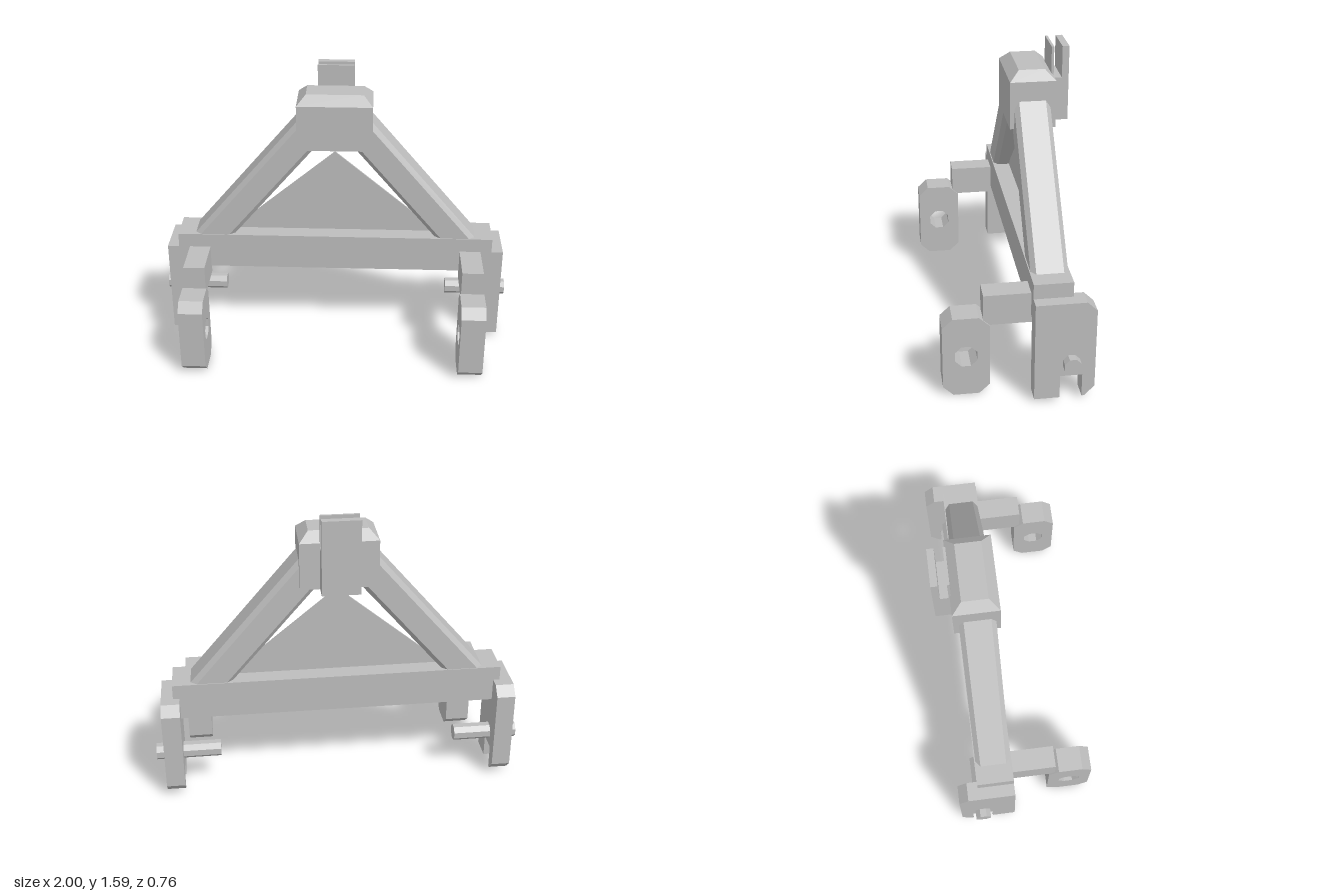
import * as THREE from 'three';

const steel = new THREE.MeshStandardMaterial({ color: 0xbdbdbd });
steel.name = 'steel grey';

export function createModel() {
  const group = new THREE.Group();

  const add = (geometry, name) => {
    const mesh = new THREE.Mesh(geometry, steel);
    mesh.name = name;
    group.add(mesh);
    return mesh;
  };

  // Box given by its limits on each axis
  const box = (x0, x1, y0, y1, z0, z1) =>
    new THREE.BoxGeometry(x1 - x0, y1 - y0, z1 - z0)
      .translate((x0 + x1) / 2, (y0 + y1) / 2, (z0 + z1) / 2);

  const shapeOf = (points) => new THREE.Shape(points.map(([a, b]) => new THREE.Vector2(a, b)));

  // Side profile of [z, y] points, extruded across x0..x1
  const sideExtrude = (shape, x0, x1) =>
    new THREE.ExtrudeGeometry(shape, { depth: x1 - x0, bevelEnabled: false })
      .rotateY(-Math.PI / 2).translate(x1, 0, 0);

  // Regular octagon with flat top, by centre and half width across flats
  const octagon = (cz, cy, apothem) => Array.from({ length: 8 }, (_, i) => {
    const a = (i + 0.5) * Math.PI / 4, r = apothem / Math.cos(Math.PI / 8);
    return [cz + r * Math.cos(a), cy + r * Math.sin(a)];
  });

  // Cross beam and thin gusset triangle standing on it
  add(box(-0.89, 0.89, 0.44, 0.645, -0.27, -0.07), 'crossBeam');
  const gusset = shapeOf([[-0.6, 0.63], [0.6, 0.63], [0, 1.13]]);
  add(new THREE.ExtrudeGeometry(gusset, { depth: 0.01, bevelEnabled: false })
    .translate(0, 0, -0.175), 'gussetPlate');

  // Head block with a bevelled cap
  add(box(-0.205, 0.205, 1.185, 1.44, -0.293, -0.052), 'headBlock');
  const cap = new THREE.BoxGeometry(0.41, 0.05, 0.241);
  const p = cap.attributes.position;
  for (let i = 0; i < p.count; i++) {
    if (p.getY(i) > 0) {
      p.setX(i, Math.sign(p.getX(i)) * 0.155);
      p.setZ(i, Math.sign(p.getZ(i)) * 0.068);
    }
  }
  const flatCap = cap.toNonIndexed();
  flatCap.computeVertexNormals();
  add(flatCap.translate(0, 1.465, -0.1725), 'headCap');

  // Slotted bracket behind the head
  add(sideExtrude(shapeOf([
    [-0.378, 1.185], [-0.285, 1.185], [-0.285, 1.59], [-0.298, 1.59],
    [-0.298, 1.42], [-0.342, 1.42], [-0.342, 1.59], [-0.378, 1.59],
  ]), -0.1, 0.1), 'topBracket');

  // Chamfered cross-section of the sloping legs
  const w = 0.095, h = 0.086, c = 0.025;
  const legSection = shapeOf([
    [-w + c, -h], [w - c, -h], [w, -h + c], [w, h - c],
    [w - c, h], [-w + c, h], [-w, h - c], [-w, -h + c],
  ]);

  const sidePlate = shapeOf([
    [-0.07, 0.02], [-0.07, 0.565], [-0.327, 0.565], [-0.378, 0.515], [-0.378, 0.075],
    [-0.327, 0.02], [-0.313, 0.02], [-0.313, 0.148], [-0.2, 0.148], [-0.2, 0.02],
  ]);

  const lug = shapeOf([
    [0.192, 0], [0.325, 0], [0.378, 0.052], [0.378, 0.397],
    [0.325, 0.447], [0.192, 0.447], [0.137, 0.397], [0.137, 0.052],
  ]);
  lug.holes.push(new THREE.Path(octagon(0.258, 0.226, 0.057).map(([a, b]) => new THREE.Vector2(a, b))));

  const pin = shapeOf(octagon(-0.255, 0.227, 0.042));

  for (const [s, side] of [[1, 'left'], [-1, 'right']]) {
    // Order limits so the same numbers serve both sides
    const span = (a, b) => (s > 0 ? [a, b] : [-b, -a]);

    const start = new THREE.Vector3(s * 0.759, 0.55, -0.17);
    const end = new THREE.Vector3(s * 0.122, 1.3, -0.17);
    const leg = add(new THREE.ExtrudeGeometry(legSection,
      { depth: start.distanceTo(end), bevelEnabled: false }), side + 'SlopingLeg');
    leg.position.copy(start);
    leg.lookAt(end);

    add(sideExtrude(sidePlate, ...span(0.855, 0.955)), side + 'SidePlate');
    add(sideExtrude(pin, ...span(0.65, 1)), side + 'Pin');
    add(box(...span(0.71, 0.828), 0.398, 0.565, -0.08, 0.17), side + 'LugArm');
    add(sideExtrude(lug, ...span(0.702, 0.836)), side + 'Lug');
  }

  return group;
}
